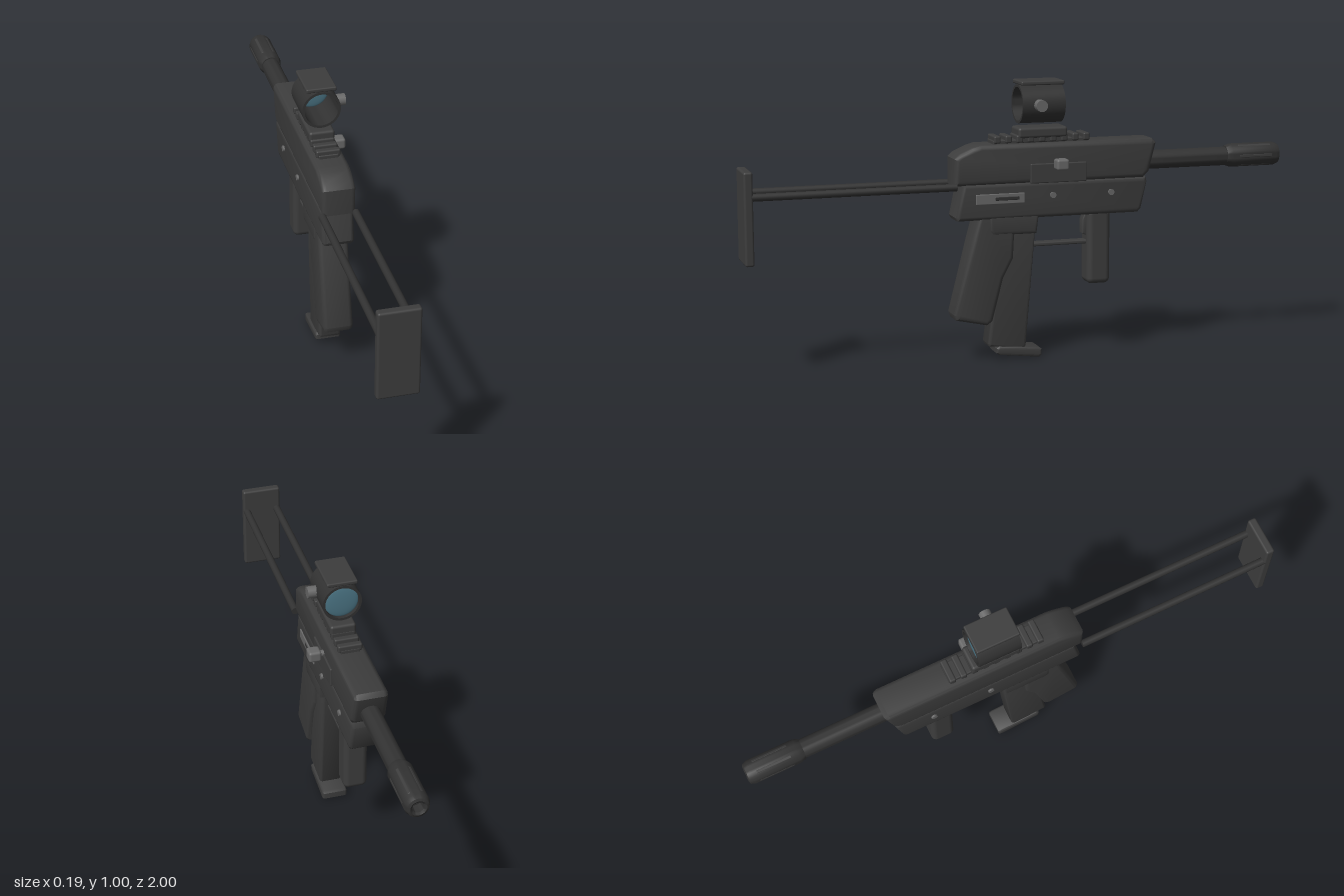
import * as THREE from 'three';
import { toCreasedNormals } from 'three/addons/utils/BufferGeometryUtils.js';
import { RoundedBoxGeometry } from 'three/addons/geometries/RoundedBoxGeometry.js';

const makeMaterial = (name, color, side = THREE.FrontSide) => {
  const m = new THREE.MeshStandardMaterial({ color, side });
  m.name = name;
  return m;
};

export function createModel() {
  const body = makeMaterial('charcoal body', 0x3d3d3d);
  const dark = makeMaterial('dark metal', 0x323232, THREE.DoubleSide);
  const steel = makeMaterial('grey steel', 0x686868);
  const glass = makeMaterial('blue glass', 0x4c7686, THREE.DoubleSide);

  const model = new THREE.Group();
  model.name = 'model';
  // Everything hangs on one centre plane, offset so the side knobs balance it
  const core = new THREE.Group();
  core.name = 'assembly';
  core.position.x = -0.022;
  model.add(core);

  const add = (name, geometry, material, x = 0, y = 0, z = 0) => {
    const mesh = new THREE.Mesh(geometry, material);
    mesh.name = name;
    mesh.position.set(x, y, z);
    core.add(mesh);
    return mesh;
  };

  // Side outline given as [z, y] points, extruded across x with a soft bevel
  const slab = (name, points, width, bevel, material = body) => {
    const shape = new THREE.Shape(points.map(([z, y]) => new THREE.Vector2(-z, y)));
    const geometry = new THREE.ExtrudeGeometry(shape, {
      depth: width - 2 * bevel, bevelEnabled: true, bevelThickness: bevel,
      bevelSize: bevel, bevelOffset: -bevel, bevelSegments: 3,
    });
    geometry.translate(0, 0, bevel - width / 2).rotateY(Math.PI / 2);
    return add(name, toCreasedNormals(geometry, 0.6), material);
  };

  // Rounded box given by its y and z limits, centred on x
  const block = (name, width, y0, y1, z0, z1, radius, material = body, x = 0) =>
    add(name, new RoundedBoxGeometry(width, y1 - y0, z1 - z0, 3, radius), material,
      x, (y0 + y1) / 2, (z0 + z1) / 2);

  // Lathe turned to run along z; profile is [radius, z]
  const turned = (name, profile, material, y, segments = 32) => {
    const geometry = new THREE.LatheGeometry(profile.map(([r, z]) => new THREE.Vector2(r, z)), segments);
    geometry.rotateX(Math.PI / 2);
    return add(name, toCreasedNormals(geometry, 0.6), material, 0, y, 0);
  };

  const crossPin = (name, radius, length, material, x, y, z) =>
    add(name, new THREE.CylinderGeometry(radius, radius, length, 16).rotateZ(Math.PI / 2), material, x, y, z);

  // Receiver halves
  slab('upperReceiver', [[0.255, 0.638], [0.255, 0.735], [0.235, 0.752], [0.19, 0.772], [0.16, 0.78],
    [-0.485, 0.78], [-0.5, 0.765], [-0.473, 0.66], [-0.45, 0.638]], 0.12, 0.017);
  slab('lowerReceiver', [[0.225, 0.643], [0.25, 0.525], [0.245, 0.513], [-0.43, 0.513], [-0.443, 0.525],
    [-0.466, 0.625], [-0.46, 0.643]], 0.116, 0.014);
  block('receiverSpine', 0.09, 0.62, 0.66, -0.44, 0.22, 0.008);

  // Side fittings
  block('ejectionPlate', 0.016, 0.638, 0.708, -0.23, -0.02, 0.004, body, 0.058);
  crossPin('cockingStem', 0.012, 0.04, steel, 0.075, 0.706, -0.125);
  block('cockingKnob', 0.045, 0.687, 0.727, -0.148, -0.102, 0.009, steel, 0.0945);
  block('selectorPanel', 0.009, 0.57, 0.607, 0.0, 0.18, 0.003, steel, 0.0575);
  block('selectorSlot', 0.008, 0.582, 0.596, 0.02, 0.11, 0.003, dark, 0.059);
  for (const side of [-1, 1])
    for (const z of [-0.105, -0.325])
      crossPin('receiverPin', 0.011, 0.012, steel, side * 0.059, 0.593, z);

  // Pistol grip, magazine and its well
  slab('grip', [[0.165, 0.53], [0.19, 0.44], [0.257, 0.175], [0.25, 0.155], [0.135, 0.13], [0.115, 0.145],
    [0.075, 0.3], [0.038, 0.37], [0.03, 0.53]], 0.107, 0.016);
  slab('magazine', [[0.07, 0.52], [0.13, 0.06], [0.125, 0.05], [-0.005, 0.035], [-0.012, 0.045],
    [-0.052, 0.52]], 0.08, 0.01);
  slab('magazineBase', [[0.1, 0.043], [0.1, 0.025], [0.09, 0.018], [-0.06, 0.0], [-0.07, 0.008],
    [-0.07, 0.03], [-0.06, 0.036], [0.09, 0.05]], 0.092, 0.008);
  slab('magazineWell', [[0.13, 0.53], [0.13, 0.47], [0.115, 0.456], [-0.048, 0.456], [-0.057, 0.53]], 0.112, 0.012);

  // Foregrip, trigger and guard bar
  block('foregrip', 0.085, 0.255, 0.53, -0.332, -0.245, 0.02);
  slab('trigger', [[-0.245, 0.52], [-0.232, 0.49], [-0.232, 0.44], [-0.25, 0.43], [-0.265, 0.52]], 0.035, 0.004);
  block('guardBar', 0.04, 0.402, 0.416, -0.26, -0.03, 0.005);

  // Barrel and slotted muzzle
  turned('barrel', [[0, -0.82], [0.034, -0.82], [0.034, -0.46], [0, -0.46]], dark, 0.695);
  turned('muzzle', [[0.018, -0.96], [0.02, -0.994], [0.028, -1], [0.037, -0.996], [0.043, -0.98],
    [0.043, -0.81], [0.036, -0.79], [0, -0.79]], dark, 0.697);
  add('bore', new THREE.CircleGeometry(0.019, 24).rotateY(Math.PI), dark, 0, 0.697, -0.961);
  for (let i = 0; i < 6; i++) {
    const a = (i / 6) * Math.PI * 2;
    const rib = add('muzzleRib', new RoundedBoxGeometry(0.008, 0.012, 0.13, 2, 0.003), body,
      Math.cos(a) * 0.0395, 0.697 + Math.sin(a) * 0.0395, -0.9);
    rib.rotation.z = a;
  }

  // Wire stock
  for (const side of [-1, 1])
    add('stockRod', new THREE.CylinderGeometry(0.0135, 0.0135, 0.74, 16).rotateX(Math.PI / 2), dark,
      side * 0.059, 0.637, 0.62);
  block('stockPlate', 0.145, 0.4, 0.726, 0.968, 1, 0.008);

  // Toothed rail
  block('rail', 0.07, 0.77, 0.793, -0.25, 0.11, 0.004);
  for (let i = 0; i < 9; i++)
    block('railTooth', 0.086, 0.782, 0.809, 0.083 - i * 0.0415, 0.107 - i * 0.0415, 0.006);

  // Sight mount, tube, lens, roof plate and knob
  block('sightMount', 0.092, 0.797, 0.835, -0.165, 0.018, 0.01);
  block('sightFoot', 0.074, 0.78, 0.805, -0.15, 0.005, 0.005);
  turned('sightTube', [[0.06, -0.149], [0.069, -0.149], [0.069, 0.009], [0.06, 0.009], [0.06, -0.149]],
    dark, 0.916, 40);
  const lens = add('lens', new THREE.SphereGeometry(0.06, 32, 16), glass, 0, 0.916, -0.135);
  lens.scale.z = 0.12;
  block('sightRoof', 0.108, 0.985, 1, -0.15, 0.01, 0.005);
  crossPin('sightKnob', 0.021, 0.034, steel, 0.081, 0.916, -0.052);

  return model;
}
